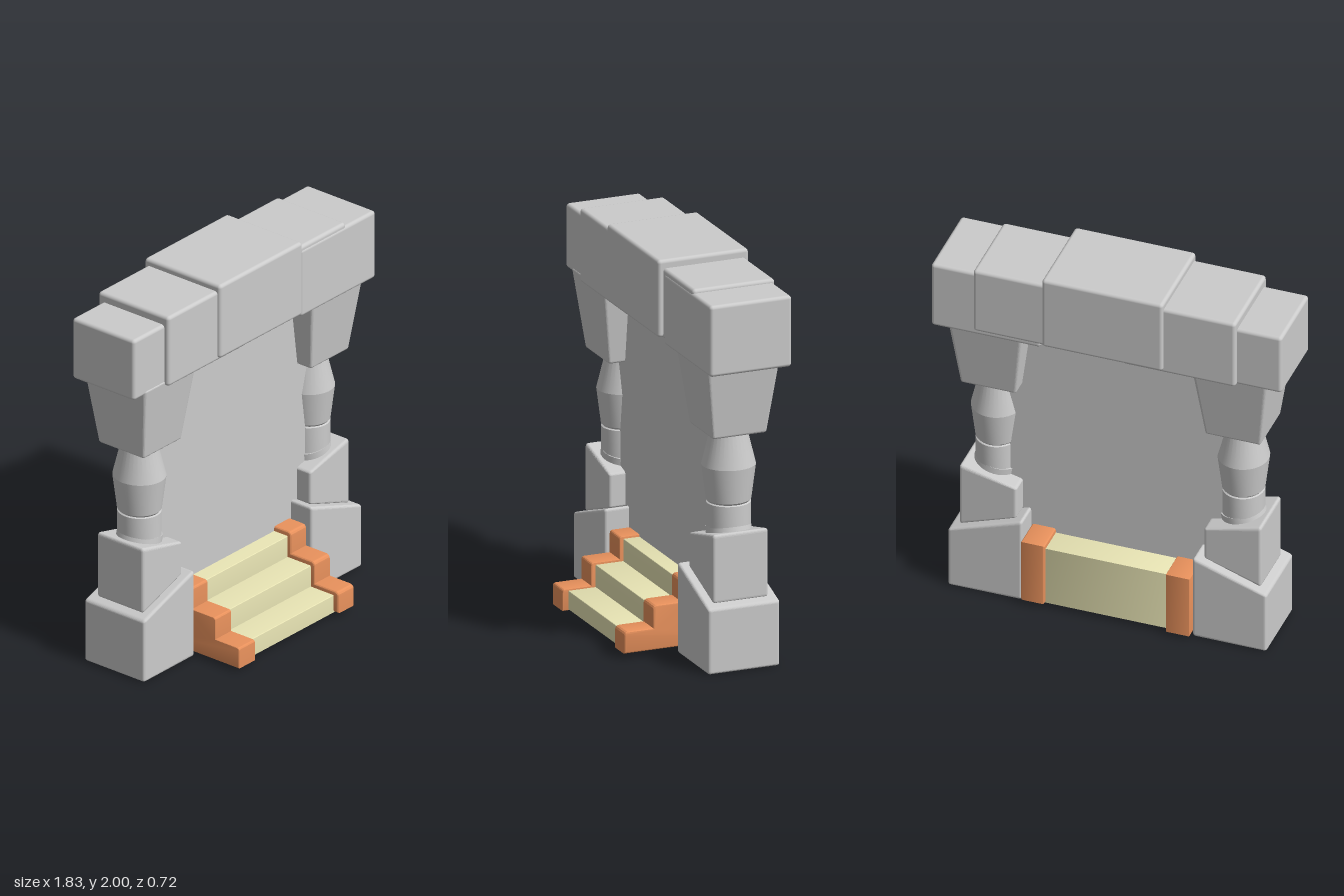
import * as THREE from 'three';
import { toCreasedNormals } from 'three/addons/utils/BufferGeometryUtils.js';
import { RoundedBoxGeometry } from 'three/addons/geometries/RoundedBoxGeometry.js';

const stone = new THREE.MeshStandardMaterial({ color: 0xcccccc });
const brick = new THREE.MeshStandardMaterial({ color: 0xe8915c });
const sand = new THREE.MeshStandardMaterial({ color: 0xe8e4b4 });
const Z = -0.11; // depth of the pillar axis

function add(parent, name, geometry, material = stone) {
  const mesh = new THREE.Mesh(geometry, material);
  mesh.name = name;
  parent.add(mesh);
  return mesh;
}

// Soft-edged block between two corners
function block(x0, x1, y0, y1, z0, z1, radius = 0.018) {
  const g = new RoundedBoxGeometry(x1 - x0, y1 - y0, z1 - z0, 3, radius);
  return g.translate((x0 + x1) / 2, (y0 + y1) / 2, (z0 + z1) / 2);
}

// Moves every vertex by a rule and rebuilds the normals
function warp(geometry, rule) {
  const p = geometry.attributes.position;
  const v = new THREE.Vector3();
  for (let i = 0; i < p.count; i++) {
    rule(v.fromBufferAttribute(p, i));
    p.setXYZ(i, v.x, v.y, v.z);
  }
  return toCreasedNormals(geometry, 0.1);
}

// Block with sloping top and bottom; heights are given as [inner, outer]
function wedge(side, half, bottom, top, z0, z1) {
  const y0 = (bottom[0] + bottom[1]) / 2;
  const y1 = (top[0] + top[1]) / 2;
  return warp(block(-half, half, y0, y1, z0, z1, 0.015), (v) => {
    const u = (side * v.x / half + 1) / 2;
    const t = (v.y - y0) / (y1 - y0);
    const low = THREE.MathUtils.lerp(bottom[0], bottom[1], u);
    const high = THREE.MathUtils.lerp(top[0], top[1], u);
    v.y = THREE.MathUtils.lerp(low, high, t);
  });
}

function pillar(side) {
  const group = new THREE.Group();
  group.name = side > 0 ? 'leftPillar' : 'rightPillar';
  group.position.x = side > 0 ? 0.643 : -0.638;

  add(group, 'baseBlock', wedge(side, 0.194, [0, 0], [0.472, 0.337], -0.305, 0.08));
  add(group, 'middleBlock', wedge(side, 0.15, [0.455, 0.345], [0.632, 0.708], -0.262, 0.036));

  // Tilted ring where the column meets the sloping block
  const ring = add(group, 'columnRing', new THREE.CylinderGeometry(0.113, 0.116, 0.05, 32));
  ring.position.set(side * 0.005, 0.68, Z);
  ring.rotation.z = side * 0.23;

  // Turned column
  const profile = [[0.107, 0.62], [0.107, 0.825], [0.1, 0.83], [0.108, 0.84], [0.13, 1.02],
    [0.09, 1.19], [0.088, 1.23]].map(([r, y]) => new THREE.Vector2(r, y));
  const column = toCreasedNormals(new THREE.LatheGeometry(profile, 32), 0.25);
  add(group, 'column', column.scale(1, 1, 1.05)).position.set(side * 0.005, 0, Z);

  // Capital widening upwards
  const capital = block(-0.145, 0.145, 1.2, 1.61, -0.145, 0.145, 0.013);
  add(group, 'capital', warp(capital, (v) => {
    const k = 1 + 0.345 * (v.y - 1.2) / 0.38;
    v.x *= k;
    v.z *= k;
  })).position.z = Z;
  return group;
}

// Stepped side profile; bounds lists [front z, top y] from the lowest step up
function steps(bounds, bottom, back, x0, x1, b, round) {
  const shape = new THREE.Shape();
  shape.moveTo(back + b, bottom + b);
  shape.lineTo(bounds[0][0] - b, bottom + b);
  bounds.forEach(([front, top], i) => {
    const z = front - b;
    const y = top - b;
    shape.lineTo(z, y - round);
    shape.quadraticCurveTo(z, y, z - round, y);
    const next = bounds[i + 1];
    shape.lineTo(next ? next[0] - b : back + b, y);
  });
  const g = new THREE.ExtrudeGeometry(shape, {
    depth: x1 - x0 - 2 * b, bevelSize: b, bevelThickness: b, bevelSegments: 3, curveSegments: 4,
  });
  g.rotateY(-Math.PI / 2); // profile x becomes z, extrusion runs towards -x
  g.translate(x1 - b, 0, 0);
  return toCreasedNormals(g, 0.3);
}

export function createModel() {
  const model = new THREE.Group();
  model.name = 'gateway';
  model.add(pillar(1), pillar(-1));

  // Overlapping lintel stones
  const lintel = new THREE.Group();
  lintel.name = 'lintel';
  model.add(lintel);
  [
    ['keystone', -0.308, 0.326, 1.598, 2.0, -0.36, 0.128],
    ['rightInnerStone', -0.683, -0.09, 1.583, 1.965, -0.343, 0.111],
    ['rightOuterStone', -0.915, -0.35, 1.585, 1.918, -0.315, 0.084],
    ['leftInnerStone', 0.12, 0.692, 1.592, 1.957, -0.342, 0.1],
    ['leftOuterStone', 0.34, 0.914, 1.569, 1.938, -0.336, 0.104],
  ].forEach(([name, ...size]) => add(lintel, name, block(...size)));

  // Slab filling the opening
  const panel = add(model, 'doorPanel', new THREE.BoxGeometry(1.24, 1.6, 0.116));
  panel.position.set(0, 0.9, Z);

  // Stairs with stepped cheeks
  const stairs = new THREE.Group();
  stairs.name = 'stairs';
  model.add(stairs);
  const treads = [[0.33, 0.12], [0.183, 0.235], [0.035, 0.35]];
  add(stairs, 'treads', steps(treads, 0.025, -0.315, -0.325, 0.33, 0.002, 0.003), sand);
  const cheek = (top) => [[0.36, top - 0.232], [0.207, top - 0.115], [0.055, top]];
  add(stairs, 'rightCheek', steps(cheek(0.362), 0.018, -0.335, -0.44, -0.315, 0.005, 0.012), brick);
  add(stairs, 'leftCheek', steps(cheek(0.375), 0.027, -0.335, 0.32, 0.445, 0.012, 0.012), brick);
  return model;
}
